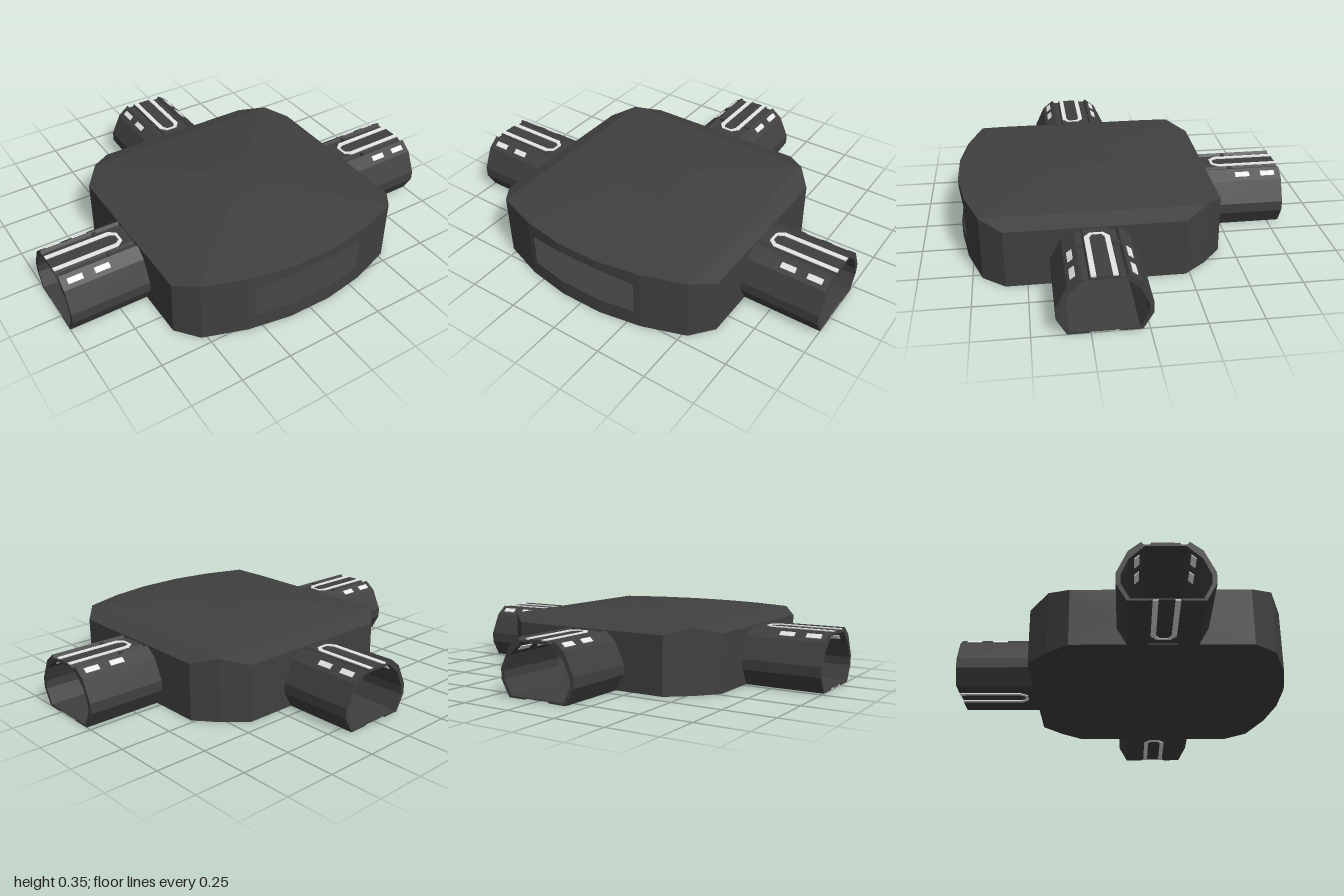
import * as THREE from 'three';

const mat = (name, color, side = THREE.FrontSide) => {
  const m = new THREE.MeshStandardMaterial({ color, side });
  m.name = name;
  return m;
};
const hull = mat('charcoal hull', 0x404040, THREE.DoubleSide);
const light = mat('pale light', 0xe6e6e6);

const add = (group, name, geometry, material) => {
  const m = new THREE.Mesh(geometry, material);
  m.name = name;
  group.add(m);
  return m;
};

// Flat-shaded surface from convex polygons, each a list of [x, y, z]
function faces(polys) {
  const pos = [];
  for (const p of polys)
    for (let i = 1; i < p.length - 1; i++) pos.push(...p[0], ...p[i], ...p[i + 1]);
  const g = new THREE.BufferGeometry();
  g.setAttribute('position', new THREE.Float32BufferAttribute(pos, 3));
  g.computeVertexNormals();
  return g;
}

const toShape = pts => new THREE.Shape(pts.map(p => new THREE.Vector2(...p)));
// Closes a half profile (positive x, top to bottom) by mirroring it
const mirrored = half => [...half, ...half.map(([x, y]) => [-x, y]).reverse()];

// Upright wall standing on the line a -> b ([x, z]), outlined in (distance, y)
function wall(a, b, outline, hole) {
  const shape = toShape(outline);
  if (hole) shape.holes.push(toShape(hole));
  const g = new THREE.ShapeGeometry(shape).toNonIndexed();
  const len = Math.hypot(b[0] - a[0], b[1] - a[1]);
  const p = g.attributes.position;
  for (let i = 0; i < p.count; i++) {
    const t = p.getX(i) / len;
    p.setXYZ(i, a[0] + (b[0] - a[0]) * t, p.getY(i), a[1] + (b[1] - a[1]) * t);
  }
  g.computeVertexNormals();
  return g;
}

const OUTER = mirrored([
  [0.06, 0.274], [0.065, 0.264], [0.09, 0.264], [0.1, 0.278], [0.155, 0.235],
  [0.205, 0.13], [0.205, 0.08], [0.16, 0], [0.07, 0], [0.06, 0.005],
]);
const INNER = mirrored([
  [0.085, 0.258], [0.153, 0.195], [0.185, 0.12], [0.185, 0.08], [0.148, 0.01],
]);

// Open tunnel running along +z from the hull wall
function makeTunnel(name, length) {
  const tunnel = new THREE.Group();
  tunnel.name = name;
  const ring = toShape(OUTER);
  ring.holes.push(toShape(INNER));
  add(tunnel, 'tunnelShell', new THREE.ExtrudeGeometry(ring, { depth: length, bevelEnabled: false }), hull);

  // U-shaped light strip above and below
  const strip = toShape([
    [0.057, length], [0.057, 0.075], [0.03, 0.042], [-0.03, 0.042], [-0.057, 0.075], [-0.057, length],
    [-0.034, length], [-0.034, 0.08], [-0.02, 0.055], [0.02, 0.055], [0.034, 0.08], [0.034, length],
  ]);
  for (const [part, top] of [['topLightStrip', 0.278], ['bottomLightStrip', 0.008]]) {
    const g = new THREE.ExtrudeGeometry(strip, { depth: 0.007, bevelEnabled: false });
    add(tunnel, part, g.rotateX(Math.PI / 2).translate(0, top, 0), light);
  }

  for (const s of [1, -1]) {
    // Lamps on the sloping shoulders, outside and inside
    for (const fromEnd of [0.067, 0.198])
      for (const [part, x, y, tilt] of [['outerLamp', 0.128, 0.257, 0.66], ['innerLamp', 0.119, 0.226, 0.75]]) {
        const lamp = add(tunnel, part, new THREE.BoxGeometry(0.027, 0.007, 0.073), light);
        lamp.position.set(s * x, y, length - fromEnd);
        lamp.rotation.z = -s * tilt;
      }
    // Small clip across the roof channel
    add(tunnel, 'channelClip', new THREE.BoxGeometry(0.03, 0.012, 0.018), hull)
      .position.set(s * 0.08, 0.27, 0.13);
  }
  return tunnel;
}

export function createModel() {
  const model = new THREE.Group();
  model.name = 'tunnelHub';
  const EAVE = 0.28, TOP = 0.312, PEAK = 0.355, TZ = 0.19;

  // Half plan from the rear round to the front: x, z, wall height
  const plan = [
    [0.415, -0.43, EAVE], [0.525, -0.335, TOP], [0.61, -0.23, EAVE], [0.61, 0.6, EAVE],
    [0.525, 0.705, TOP], [0.32, 0.775, TOP], [0.11, 0.81, TOP],
  ];
  const at = (i, s) => [s * plan[i][0], plan[i][2], plan[i][1]];
  const foot = (i, s) => [s * plan[i][0], 0, plan[i][1]];
  const xz = (i, s) => [s * plan[i][0], plan[i][1]];

  // Roof: low flat crown, sloping planes and bevelled eaves
  const crown = (s, front) => [s * 0.12, PEAK, front ? 0.32 : 0.065];
  const roof = [
    [crown(-1, 1), crown(1, 1), crown(1, 0), crown(-1, 0)],
    [crown(-1, 1), at(6, -1), at(6, 1), crown(1, 1)],
    [crown(1, 0), at(1, 1), at(1, -1), crown(-1, 0)],
    [at(1, 1), at(0, 1), at(0, -1), at(1, -1)],
  ];
  for (const s of [1, -1])
    roof.push(
      [crown(s, 1), at(6, s), at(5, s)],
      [crown(s, 1), at(5, s), at(4, s)],
      [crown(s, 1), at(4, s), at(1, s), crown(s, 0)],
      [at(4, s), at(3, s), at(2, s), at(1, s)],
    );
  // Wind every roof face upwards
  for (const p of roof) {
    const [a, b, c] = p.map(v => new THREE.Vector3(...v));
    if (b.sub(a).cross(c.sub(a)).y < 0) p.reverse();
  }
  add(model, 'roof', faces(roof), hull);

  // Floor
  const ids = plan.map((_, i) => i);
  add(model, 'floor', faces([[...ids.map(i => foot(i, 1)), ...ids.reverse().map(i => foot(i, -1))]]), hull);

  for (const s of [1, -1]) {
    // Plain corner walls
    for (const i of [0, 1, 3, 4])
      add(model, 'cornerWall', faces([[foot(i, s), foot(i + 1, s), at(i + 1, s), at(i, s)]]), hull);
    // Side wall with tunnel opening
    const opening = INNER.map(([x, y]) => [x + TZ + 0.23, y]);
    add(model, 'sideWall', wall(xz(2, s), xz(3, s), [[0, 0], [0.83, 0], [0.83, EAVE], [0, EAVE]], opening), hull);
    // Front wall facet wrapped by the end of the window
    const len = Math.hypot(0.21, 0.035), w = 0.18;
    add(model, 'frontSideWall', wall(xz(6, s), xz(5, s), [
      [0, 0], [len, 0], [len, TOP], [0, TOP], [0, 0.264], [w, 0.243], [w, 0.08], [0, 0.08],
    ]), hull);
  }
  // Front centre, above and below the window
  for (const [name, lo, hi] of [['windowSill', 0, 0.08], ['windowHeader', 0.264, TOP]])
    add(model, name, wall(xz(6, -1), xz(6, 1), [[0, lo], [0.22, lo], [0.22, hi], [0, hi]]), hull);
  // Rear wall with tunnel opening
  add(model, 'rearWall', wall(xz(0, 1), xz(0, -1), [[0, 0], [0.83, 0], [0.83, EAVE], [0, EAVE]],
    INNER.map(([x, y]) => [x + 0.415, y])), hull);

  // Three tunnels
  const left = makeTunnel('leftTunnel', 0.39);
  left.position.set(0.61, 0, TZ);
  left.rotation.y = Math.PI / 2;
  const right = makeTunnel('rightTunnel', 0.39);
  right.position.set(-0.61, 0, TZ);
  right.rotation.y = -Math.PI / 2;
  const rear = makeTunnel('rearTunnel', 0.38);
  rear.position.set(0, 0, -0.43);
  rear.rotation.y = Math.PI;
  model.add(left, right, rear);
  return model;
}
